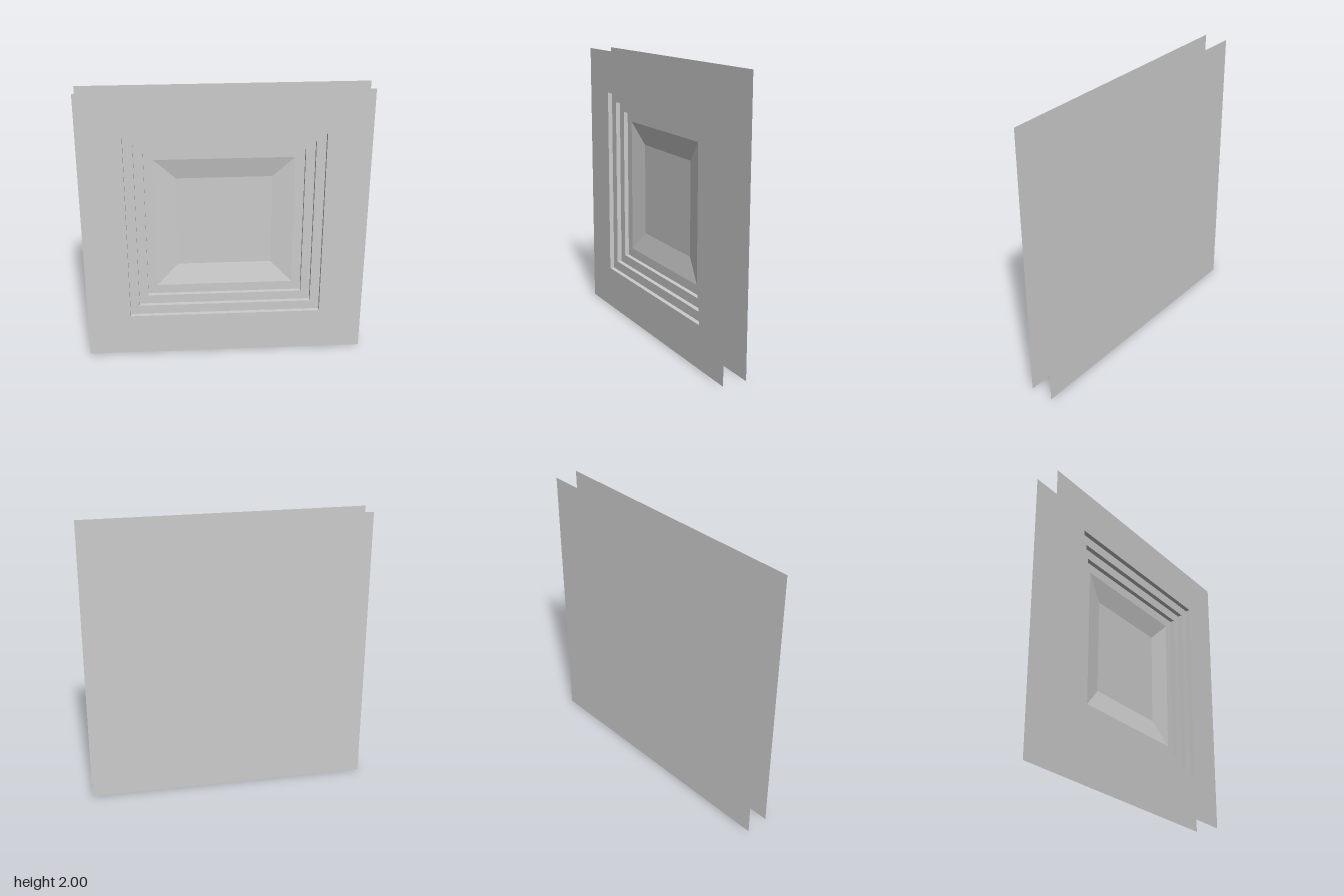
import * as THREE from 'three';

const CENTER_Y = 1;

export function createModel() {
  const model = new THREE.Group();
  model.name = 'recessedPanel';

  const plaster = new THREE.MeshStandardMaterial({ color: 0xcccccc, side: THREE.DoubleSide });
  plaster.name = 'plaster grey';

  const add = (name, geometry, z = 0) => {
    const mesh = new THREE.Mesh(geometry, plaster);
    mesh.name = name;
    mesh.position.set(0, CENTER_Y, z);
    model.add(mesh);
    return mesh;
  };

  // Four flat quads joining two concentric squares, facing inward and forward
  const squareBand = (outer, outerZ, inner, innerZ) => {
    const corners = [[-1, -1], [1, -1], [1, 1], [-1, 1]];
    const positions = [];
    corners.forEach(([ax, ay], i) => {
      const [bx, by] = corners[(i + 1) % 4];
      const a = [ax * outer, ay * outer, outerZ];
      const b = [bx * outer, by * outer, outerZ];
      const c = [bx * inner, by * inner, innerZ];
      const d = [ax * inner, ay * inner, innerZ];
      positions.push(...a, ...b, ...c, ...a, ...c, ...d);
    });
    const geometry = new THREE.BufferGeometry();
    geometry.setAttribute('position', new THREE.Float32BufferAttribute(positions, 3));
    geometry.computeVertexNormals();
    return geometry;
  };

  // Recess profile from the front opening to the floor: [half width, z]
  const profile = [
    ['frontPanel', 1, 0.087],
    ['firstWall', 0.69, 0.087],
    ['firstLedge', 0.69, 0.054],
    ['secondWall', 0.623, 0.054],
    ['secondLedge', 0.623, 0.021],
    ['thirdWall', 0.557, 0.021],
    ['thirdLedge', 0.557, -0.011],
    ['slopedSides', 0.49, -0.011],
    ['floorEdge', 0.336, -0.044],
  ];
  for (let i = 0; i < profile.length - 1; i++) {
    const [name, outer, outerZ] = profile[i];
    const [, inner, innerZ] = profile[i + 1];
    add(name, squareBand(outer, outerZ, inner, innerZ));
  }

  // Flat floor of the recess
  add('recessFloor', new THREE.PlaneGeometry(0.672, 0.672), -0.044);

  // Plain backing sheet, facing the rear
  add('backPanel', new THREE.PlaneGeometry(2, 2), -0.087).rotation.y = Math.PI;

  return model;
}
